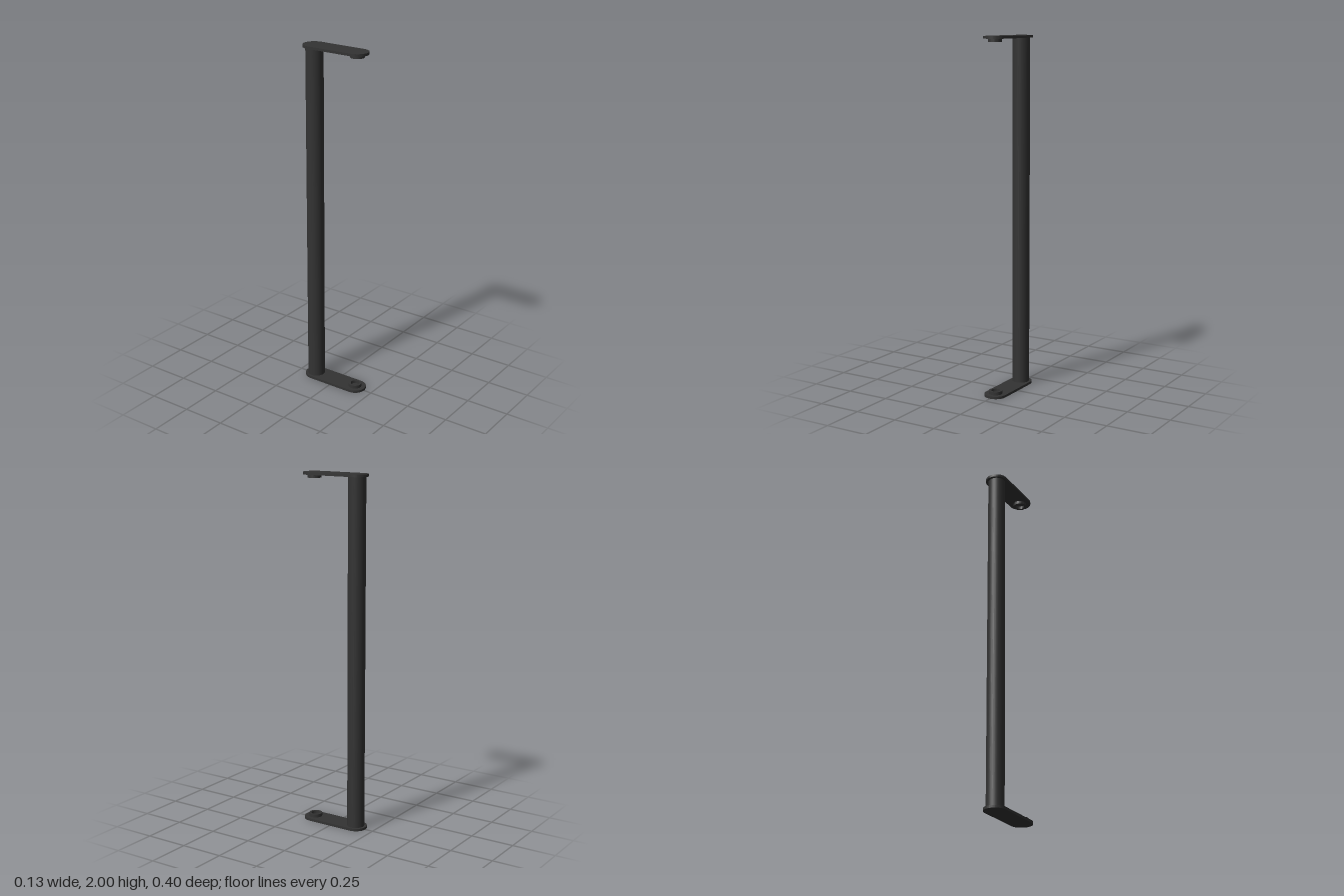
import * as THREE from 'three';

const HALF_WIDTH = 0.063, POST_Z = -0.138, BOSS_Z = 0.139, THICK = 0.014, HEIGHT = 2;
const material = new THREE.MeshStandardMaterial({ color: 0x333333 });

function part(name, geometry, y = 0, z = 0) {
  const mesh = new THREE.Mesh(geometry, material);
  mesh.name = name;
  mesh.position.set(0, y, z);
  return mesh;
}

// Flat strip with two round ends, lying in the xz plane
function plateGeometry() {
  const shape = new THREE.Shape();
  shape.absarc(0, BOSS_Z, HALF_WIDTH, 0, Math.PI);
  shape.absarc(0, -BOSS_Z, HALF_WIDTH, Math.PI, Math.PI * 2);
  shape.closePath();
  const geometry = new THREE.ExtrudeGeometry(shape, { depth: THICK, bevelEnabled: false, curveSegments: 12 });
  return geometry.rotateX(-Math.PI / 2);
}

// Short raised ring with a recessed centre
function bossGeometry() {
  const shape = new THREE.Shape().absarc(0, 0, 0.038, 0, Math.PI * 2);
  shape.holes.push(new THREE.Path().absarc(0, 0, 0.025, 0, Math.PI * 2, true));
  const geometry = new THREE.ExtrudeGeometry(shape, { depth: 0.019, bevelEnabled: false, curveSegments: 16 });
  return geometry.rotateX(-Math.PI / 2);
}

function bracket(name) {
  const group = new THREE.Group();
  group.name = name;
  group.add(part('plate', plateGeometry()));
  group.add(part('mountingBoss', bossGeometry(), THICK - 0.001, BOSS_Z));
  return group;
}

export function createModel() {
  const model = new THREE.Group();
  model.name = 'pullHandle';

  // Upright grip between the two plates
  const length = HEIGHT - THICK * 2;
  model.add(part('grip', new THREE.CylinderGeometry(0.049, 0.049, length, 32), HEIGHT / 2, POST_Z));

  // End brackets: the upper one is turned over so its boss faces down
  const lower = bracket('lowerBracket');
  const upper = bracket('upperBracket');
  upper.rotation.z = Math.PI;
  upper.position.y = HEIGHT;
  model.add(lower, upper);

  return model;
}
